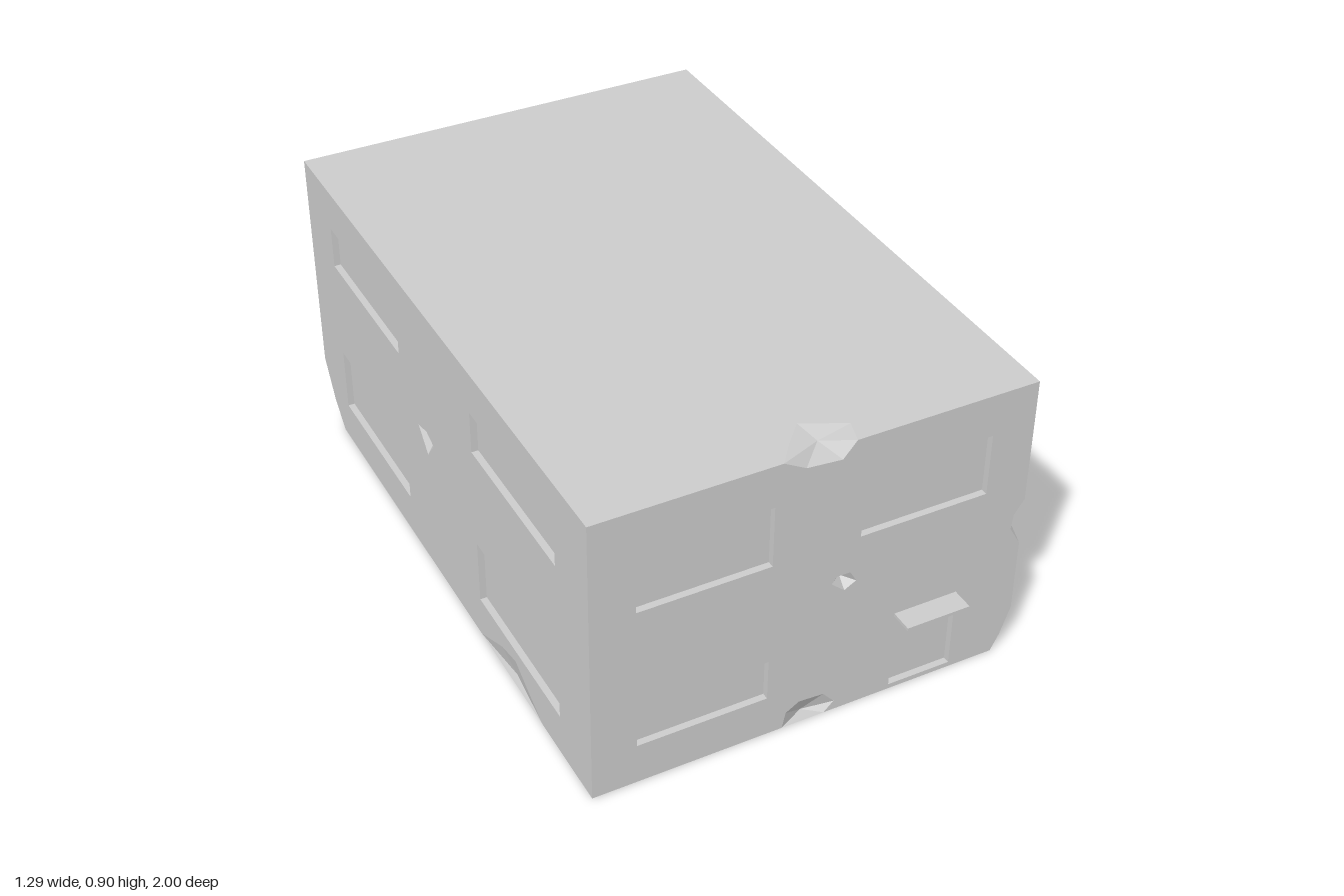
import * as THREE from 'three';

// Half width, height, front and back planes, depth of the window recesses
const W = 0.645, H = 0.905, F = 0.933, B = -1, RECESS = 0.02;
const material = new THREE.MeshStandardMaterial({ color: 0xcccccc, flatShading: true, side: THREE.DoubleSide });

// Each face maps its own two coordinates plus an outward offset into space
const onFront = (x, y, d = 0) => new THREE.Vector3(x, y, F + d);
const onBack = (x, y, d = 0) => new THREE.Vector3(x, y, B - d);
const onLeft = (z, y, d = 0) => new THREE.Vector3(W + d, y, z);
const onRight = (z, y, d = 0) => new THREE.Vector3(-W - d, y, z);
const onRoof = (x, z, d = 0) => new THREE.Vector3(x, H + d, z);
const onFloor = (x, z, d = 0) => new THREE.Vector3(x, -d, z);
const lift = (at, points) => points.map(([a, b]) => at(a, b));
const rect = (a0, a1, b0, b1) => [[a0, b0], [a1, b0], [a1, b1], [a0, b1]];

// Flat triangles, each turned to face the point "toward"
function facets(name, triangles, toward) {
  const positions = [];
  for (const [a, b, c] of triangles) {
    const normal = b.clone().sub(a).cross(c.clone().sub(a));
    const facing = normal.dot(toward.clone().sub(a)) >= 0;
    for (const p of facing ? [a, b, c] : [a, c, b]) positions.push(p.x, p.y, p.z);
  }
  const geometry = new THREE.BufferGeometry();
  geometry.setAttribute('position', new THREE.Float32BufferAttribute(positions, 3));
  geometry.computeVertexNormals();
  const mesh = new THREE.Mesh(geometry, material);
  mesh.name = name;
  return mesh;
}

// Flat face cut by holes
function panel(name, at, outline, holes = [], offset = 0) {
  const flat = [outline, ...holes].map((loop) => loop.map(([a, b]) => new THREE.Vector2(a, b)));
  const points = flat.flat().map((p) => at(p.x, p.y, offset));
  const triangles = THREE.ShapeUtils.triangulateShape(flat[0], flat.slice(1));
  return facets(name, triangles.map((t) => t.map((i) => points[i])), at(0, 0, 5));
}

// Sunken pane with its four reveals
function recess(name, at, loop) {
  const group = new THREE.Group();
  group.name = name;
  const sides = loop.flatMap((p, i) => {
    const q = loop[(i + 1) % 4];
    const [a, b, c, d] = [at(...p), at(...q), at(...q, -RECESS), at(...p, -RECESS)];
    return [[a, b, c], [a, c, d]];
  });
  const middle = at((loop[0][0] + loop[2][0]) / 2, (loop[0][1] + loop[2][1]) / 2);
  group.add(facets('reveal', sides, middle), panel('pane', at, loop, [], -RECESS));
  return group;
}

// Broken chip: facets from its rim to a sunken point
function chip(name, rim, apex) {
  const deep = new THREE.Vector3(...apex);
  const centre = rim.reduce((sum, p) => sum.add(p), new THREE.Vector3()).divideScalar(rim.length);
  const out = centre.sub(deep).multiplyScalar(4).add(deep);
  return facets(name, rim.map((p, i) => [deep, p, rim[(i + 1) % rim.length]]), out);
}

export function createModel() {
  const model = new THREE.Group();
  model.name = 'building';

  // Chip rims, as traced on each face they touch
  const eaveFront = [[0.1, H], [0.06, 0.858], [-0.045, 0.868], [-0.11, H]];
  const eaveRoof = [[-0.11, F], [-0.06, 0.87], [0, 0.805], [0.12, 0.865], [0.1, F]];
  const footFront = [[-0.08, 0], [-0.07, 0.05], [-0.03, 0.075], [0.045, 0.07], [0.08, 0.03], [0.05, 0]];
  const footFloor = [[-0.08, F], [0, F - 0.04], [0.05, F]];
  const edgeFront = [[W, 0.37], [0.61, 0.43], [0.615, 0.475], [W, 0.52]];
  const edgeLeft = [[F, 0.52], [0.905, 0.53], [0.865, 0.48], [F, 0.37]];
  const cornerFront = [[0.59, 0], [0.615, 0.05], [W, 0.14]];
  const cornerLeft = [[F, 0.14], [0.885, 0.06], [0.865, 0]];
  const rearBack = [[-0.5, 0], [-0.58, 0.08], [-W, 0.19]];
  const rearRight = [[B, 0.19], [-0.93, 0.07], [-0.86, 0]];
  const baseRight = [[0.22, 0], [0.37, 0.07], [0.46, 0.09], [0.55, 0.04], [0.63, 0]];
  const frontPit = [[0.05, 0.455], [0.065, 0.475], [0.105, 0.475], [0.125, 0.44], [0.09, 0.42]];
  const sidePit = [[-0.17, 0.475], [-0.11, 0.49], [-0.06, 0.47], [-0.11, 0.41]];

  // Windows and door
  const upper = [rect(-0.515, -0.13, 0.585, 0.775), rect(0.13, 0.515, 0.585, 0.775)];
  const frontWindows = [...upper, rect(-0.515, -0.13, 0.13, 0.26)];
  const door = rect(0.255, 0.45, 0.015, 0.26);
  const sideWindows = [[0.225, 0.745], [-0.805, -0.29]].flatMap(([z0, z1]) =>
    [rect(z0, z1, 0.645, 0.775), rect(z0, z1, 0.13, 0.33)]);

  // Walls, roof and floor
  model.add(
    panel('frontWall', onFront,
      [[-W, 0], ...footFront, ...cornerFront, ...edgeFront, [W, H], ...eaveFront, [-W, H]],
      [...frontWindows, door, frontPit]),
    panel('backWall', onBack, [[W, 0], ...rearBack, [-W, H], [W, H]], upper),
    panel('leftWall', onLeft,
      [[B, 0], [B, H], [F, H], ...edgeLeft, ...cornerLeft], sideWindows),
    panel('rightWall', onRight,
      [...rearRight, ...baseRight, [F, 0], [F, H], [B, H]], [...sideWindows, sidePit]),
    panel('roof', onRoof, [[-W, B], [-W, F], ...eaveRoof, [W, F], [W, B]]),
    panel('floor', onFloor, [[-0.5, B], [-W, -0.86], [-W, 0.22], [-W + 0.02, 0.42], [-W, 0.63],
      [-W, F], ...footFloor, [0.59, F], [W, 0.865], [W, B]]),
  );

  // Recessed panes
  for (const [at, loops] of [[onFront, frontWindows], [onBack, upper], [onLeft, sideWindows], [onRight, sideWindows]])
    for (const loop of loops) model.add(recess('window', at, loop));
  model.add(recess('door', onFront, door));

  // Canopy over the door
  const canopy = new THREE.Mesh(new THREE.BoxGeometry(0.195, 0.01, 1 - F), material);
  canopy.name = 'doorCanopy';
  canopy.position.set(0.3525, 0.267, (1 + F) / 2);
  model.add(canopy);

  // Damage
  model.add(
    chip('eaveChip', [...lift(onFront, eaveFront), ...lift(onRoof, eaveRoof.slice(1, -1))], [0.02, 0.89, 0.873]),
    chip('footChip', lift(onFront, footFront), [0, 0, F - 0.04]),
    chip('edgeChip', [...lift(onFront, edgeFront), ...lift(onLeft, edgeLeft.slice(1, -1))], [0.615, 0.46, 0.9]),
    chip('cornerChip', [...lift(onFront, cornerFront), ...lift(onLeft, cornerLeft.slice(1))], [0.62, 0.035, 0.895]),
    chip('rearCornerChip', [...lift(onBack, rearBack), ...lift(onRight, rearRight.slice(1))], [-0.59, 0.05, -0.94]),
    chip('baseChip', lift(onRight, baseRight), [-W + 0.02, 0, 0.42]),
    chip('frontPit', lift(onFront, frontPit), [0.09, 0.45, F - 0.03]),
    chip('sidePit', lift(onRight, sidePit), [-W + 0.03, 0.46, -0.11]),
  );
  return model;
}
